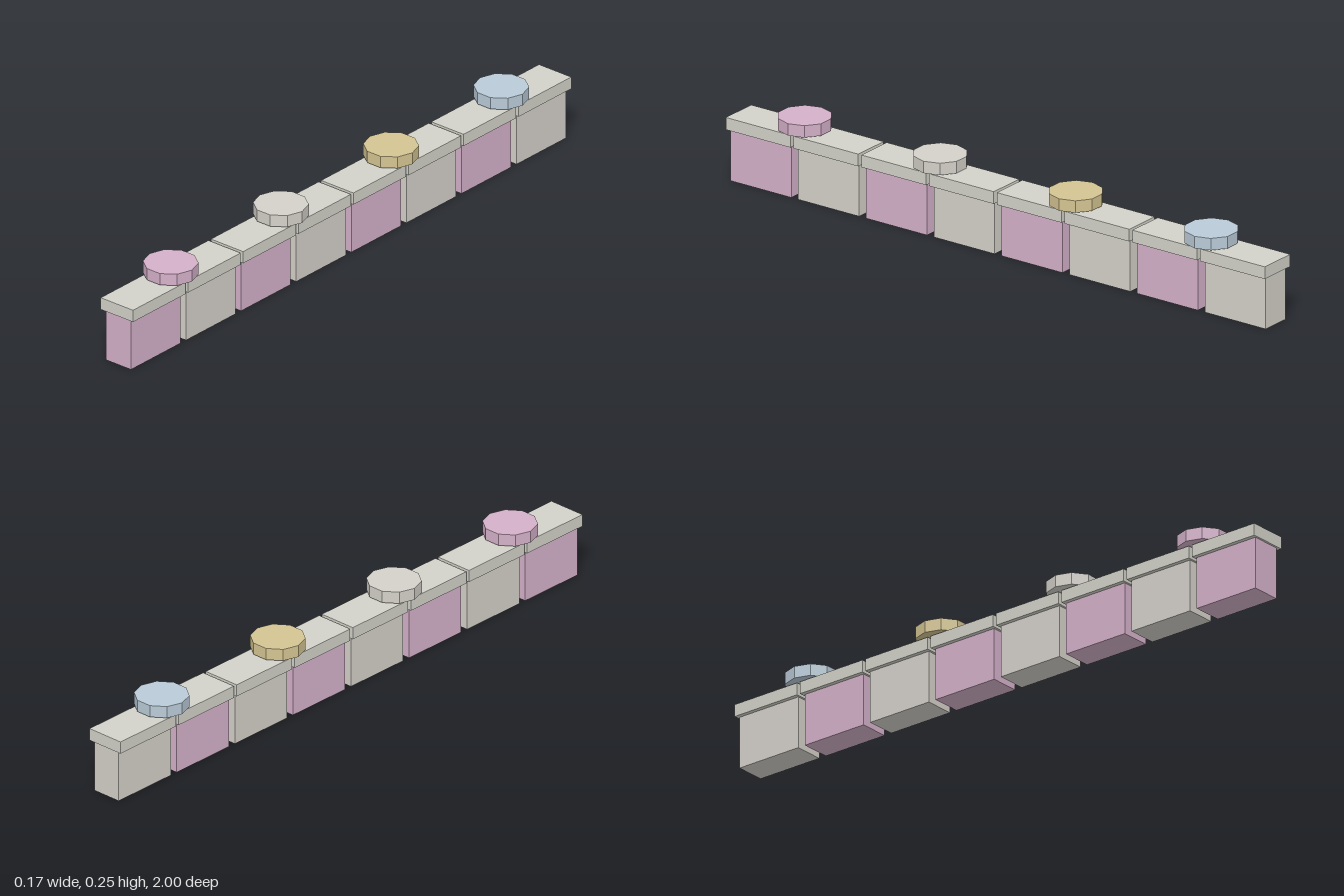
import * as THREE from 'three';

const flat = (name, color) => {
  const m = new THREE.MeshStandardMaterial({ color });
  m.name = name;
  return m;
};

export function createModel() {
  const pink = flat('pink', 0xd4b0c9);
  const stone = flat('warm grey', 0xd4d0c9);
  const capGrey = flat('cap grey', 0xd2d2c9);
  const blue = flat('pale blue', 0xb9cad7);
  const gold = flat('gold', 0xd4c492);

  const group = new THREE.Group();
  group.name = 'blockRow';
  const add = (name, geometry, material, y, z) => {
    const mesh = new THREE.Mesh(geometry, material);
    mesh.name = name;
    mesh.position.set(0, y, z);
    group.add(mesh);
  };

  const pitch = 0.2514;
  const blockGeo = new THREE.BoxGeometry(0.098, 0.167, 0.226);
  const capGeo = new THREE.BoxGeometry(0.126, 0.039, 0.24);
  // ten-sided disc with corners on the x axis
  const discGeo = new THREE.CylinderGeometry(0.083, 0.083, 0.038, 10).toNonIndexed();
  discGeo.rotateY(Math.PI / 2);
  discGeo.computeVertexNormals();

  // alternating blocks, each with an overhanging cap, from front to back
  for (let i = 0; i < 8; i++) {
    const z = (3.5 - i) * pitch;
    add(`block${i + 1}`, blockGeo, i % 2 ? stone : pink, 0.0835, z);
    add(`cap${i + 1}`, capGeo, capGrey, 0.1855, z);
  }

  // discs hovering over the joint of each pair
  [pink, stone, gold, blue].forEach((material, i) => {
    add(`disc${i + 1}`, discGeo, material, 0.231, (3 - 2 * i) * pitch);
  });

  return group;
}
